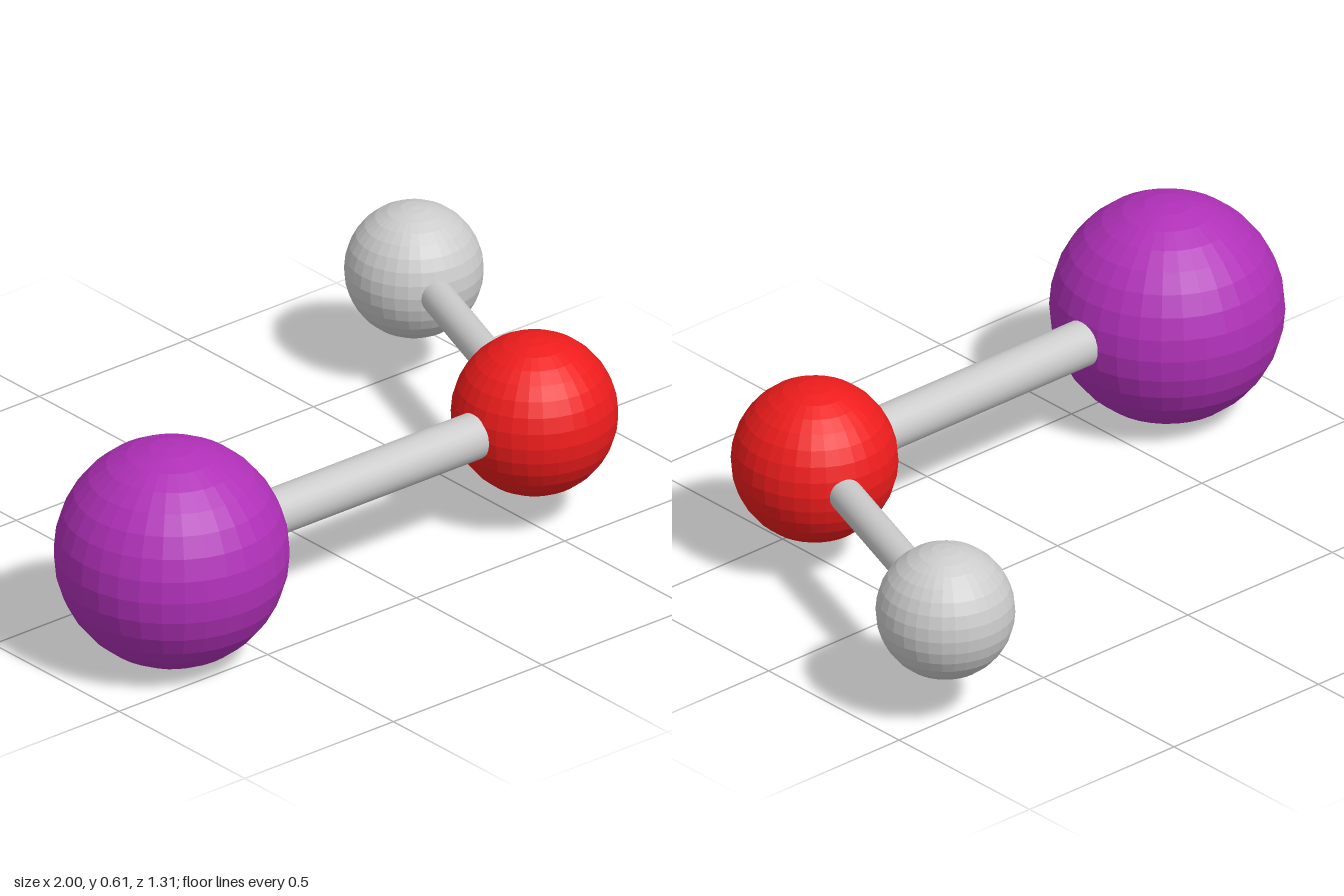
import * as THREE from 'three';

export function createModel() {
  const model = new THREE.Group();
  model.name = 'moleculeModel';
  const Y = 0.304;

  // Faceted ball for one atom
  function atom(name, x, z, radius, color) {
    const mesh = new THREE.Mesh(
      new THREE.SphereGeometry(radius, 32, 16),
      new THREE.MeshStandardMaterial({ color, flatShading: true })
    );
    mesh.name = name;
    mesh.position.set(x, Y, z);
    model.add(mesh);
    return mesh.position;
  }

  // Smooth rod joining two atom centres
  function bond(name, a, b, radius) {
    const dir = b.clone().sub(a);
    const mesh = new THREE.Mesh(
      new THREE.CylinderGeometry(radius, radius, dir.length(), 24),
      new THREE.MeshStandardMaterial({ color: 0xcccccc })
    );
    mesh.name = name;
    mesh.position.copy(a).add(b).multiplyScalar(0.5);
    mesh.quaternion.setFromUnitVectors(new THREE.Vector3(0, 1, 0), dir.normalize());
    model.add(mesh);
  }

  const large = atom('largePurpleAtom', -0.697, 0.351, 0.304, 0xb030b8);
  const middle = atom('middleRedAtom', 0.524, 0.351, 0.216, 0xee1c1c);
  const small = atom('smallGreyAtom', 0.817, -0.475, 0.18, 0xcccccc);

  bond('thickBond', large, middle, 0.062);
  bond('thinBond', middle, small, 0.045);

  return model;
}
